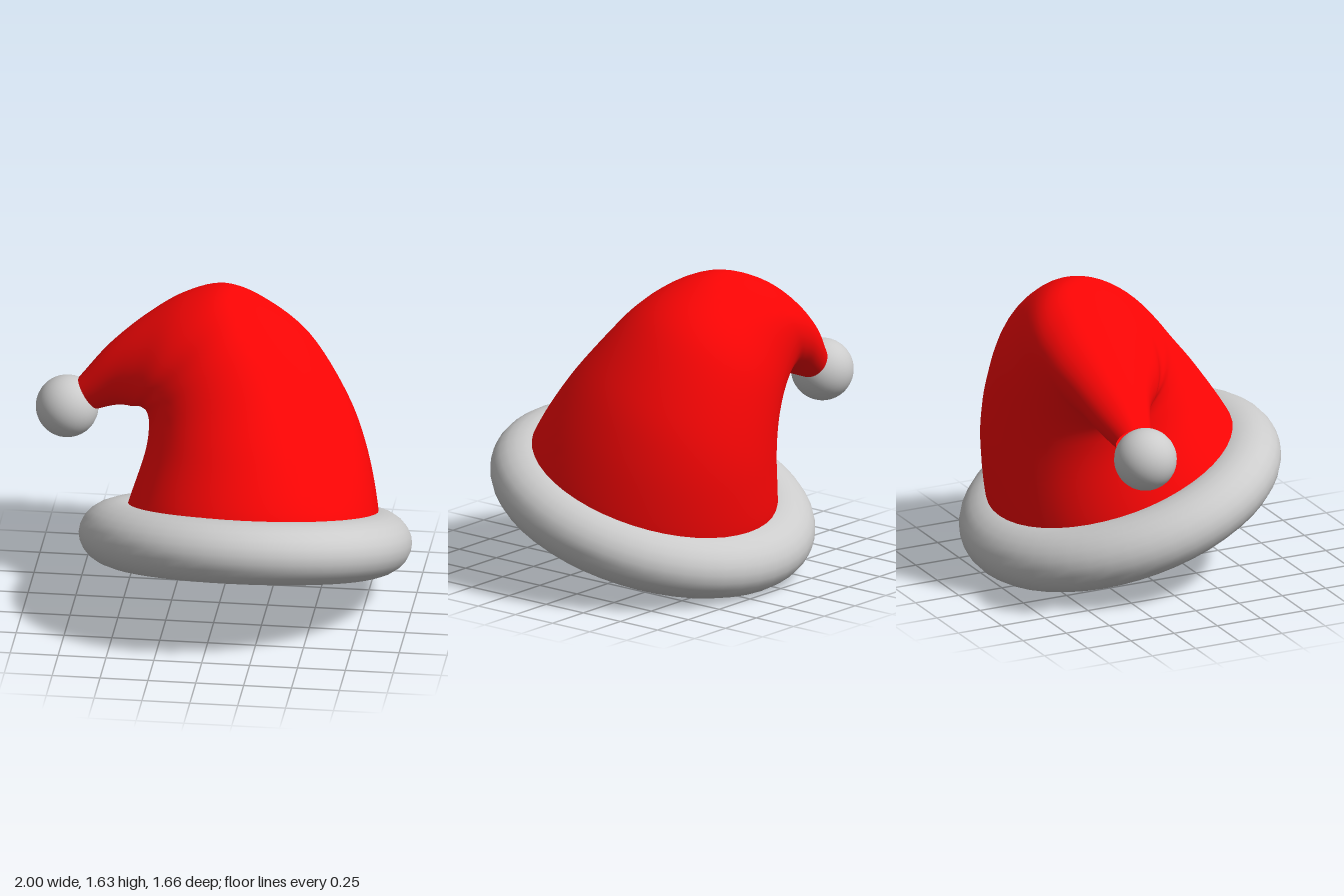
import * as THREE from 'three';

const SIDES = 48;
const STEPS = 60;
const TILT = THREE.MathUtils.degToRad(-18.3);

// Cross-sections of the drooping cone, base to tip:
// inner bend point, outer bend point, half-width vector to the side.
const SECTIONS = [
  [[-0.52, 0.385, 0.00], [0.82, 0.385, 0.00], [0, 0.21, 0.63]],
  [[-0.475, 0.55, -0.04], [0.82, 0.54, -0.05], [0, 0.21, 0.635]],
  [[-0.40, 0.79, -0.115], [0.75, 0.83, -0.165], [0, 0.19, 0.57]],
  [[-0.385, 0.92, -0.165], [0.635, 1.10, -0.26], [0, 0.17, 0.50]],
  [[-0.40, 0.98, -0.20], [0.43, 1.40, -0.335], [0, 0.13, 0.43]],
  [[-0.43, 1.00, -0.23], [0.20, 1.57, -0.36], [0, 0.08, 0.375]],
  [[-0.46, 1.00, -0.265], [-0.01, 1.635, -0.37], [0, 0.025, 0.33]],
  [[-0.49, 0.99, -0.285], [-0.22, 1.575, -0.375], [0, 0.01, 0.29]],
  [[-0.53, 0.98, -0.315], [-0.42, 1.445, -0.375], [0, 0, 0.232]],
  [[-0.59, 0.955, -0.345], [-0.62, 1.27, -0.37], [0, 0, 0.165]],
  [[-0.68, 0.92, -0.35], [-0.78, 1.08, -0.35], [0, 0, 0.10]],
];

function track(k) {
  const points = SECTIONS.map((s) => new THREE.Vector3(...s[k]));
  return new THREE.CatmullRomCurve3(points, false, 'catmullrom', 0.5);
}

// Smooth skin lofted through elliptical rings
function coneGeometry() {
  const [inner, outer, side] = [0, 1, 2].map(track);
  const positions = [];
  const indices = [];
  for (let i = 0; i <= STEPS; i++) {
    const a = inner.getPoint(i / STEPS);
    const b = outer.getPoint(i / STEPS);
    const w = side.getPoint(i / STEPS);
    const centre = a.clone().add(b).multiplyScalar(0.5);
    const half = b.clone().sub(a).multiplyScalar(0.5);
    for (let j = 0; j < SIDES; j++) {
      const t = (j / SIDES) * Math.PI * 2;
      const p = centre.clone().addScaledVector(half, Math.cos(t)).addScaledVector(w, Math.sin(t));
      positions.push(p.x, p.y, p.z);
      if (i < STEPS) {
        const k = (j + 1) % SIDES;
        const row = i * SIDES;
        const next = row + SIDES;
        indices.push(row + j, next + j, row + k, row + k, next + j, next + k);
      }
    }
  }
  const geometry = new THREE.BufferGeometry();
  geometry.setAttribute('position', new THREE.Float32BufferAttribute(positions, 3));
  geometry.setIndex(indices);
  geometry.computeVertexNormals();
  return geometry;
}

export function createModel() {
  const model = new THREE.Group();
  model.name = 'floppyHat';
  const red = new THREE.MeshStandardMaterial({ color: 0xff0505, side: THREE.DoubleSide });
  const grey = new THREE.MeshStandardMaterial({ color: 0xcccccc });

  // Cone, folded over towards the right
  const cone = new THREE.Mesh(coneGeometry(), red);
  cone.name = 'cone';

  // Base group, raised at the front
  const base = new THREE.Group();
  base.name = 'base';
  base.position.set(0.135, 0.382, 0);
  base.rotation.x = TILT;

  // Thick brim, a little wider than tall
  const brimGeometry = new THREE.TorusGeometry(0.667, 0.198, 24, SIDES);
  brimGeometry.rotateX(Math.PI / 2);
  brimGeometry.scale(1, 0.845, 1);
  const brim = new THREE.Mesh(brimGeometry, grey);
  brim.name = 'brim';

  // Red lining closing the opening from below
  const lining = new THREE.Mesh(new THREE.CircleGeometry(0.54, SIDES), red);
  lining.name = 'lining';
  lining.rotation.x = Math.PI / 2;
  lining.position.y = -0.114;
  base.add(brim, lining);

  // Ball on the tip
  const pompom = new THREE.Mesh(new THREE.SphereGeometry(0.163, 32, 24), grey);
  pompom.name = 'pompom';
  pompom.position.set(-0.837, 0.925, -0.335);

  model.add(cone, base, pompom);
  return model;
}
